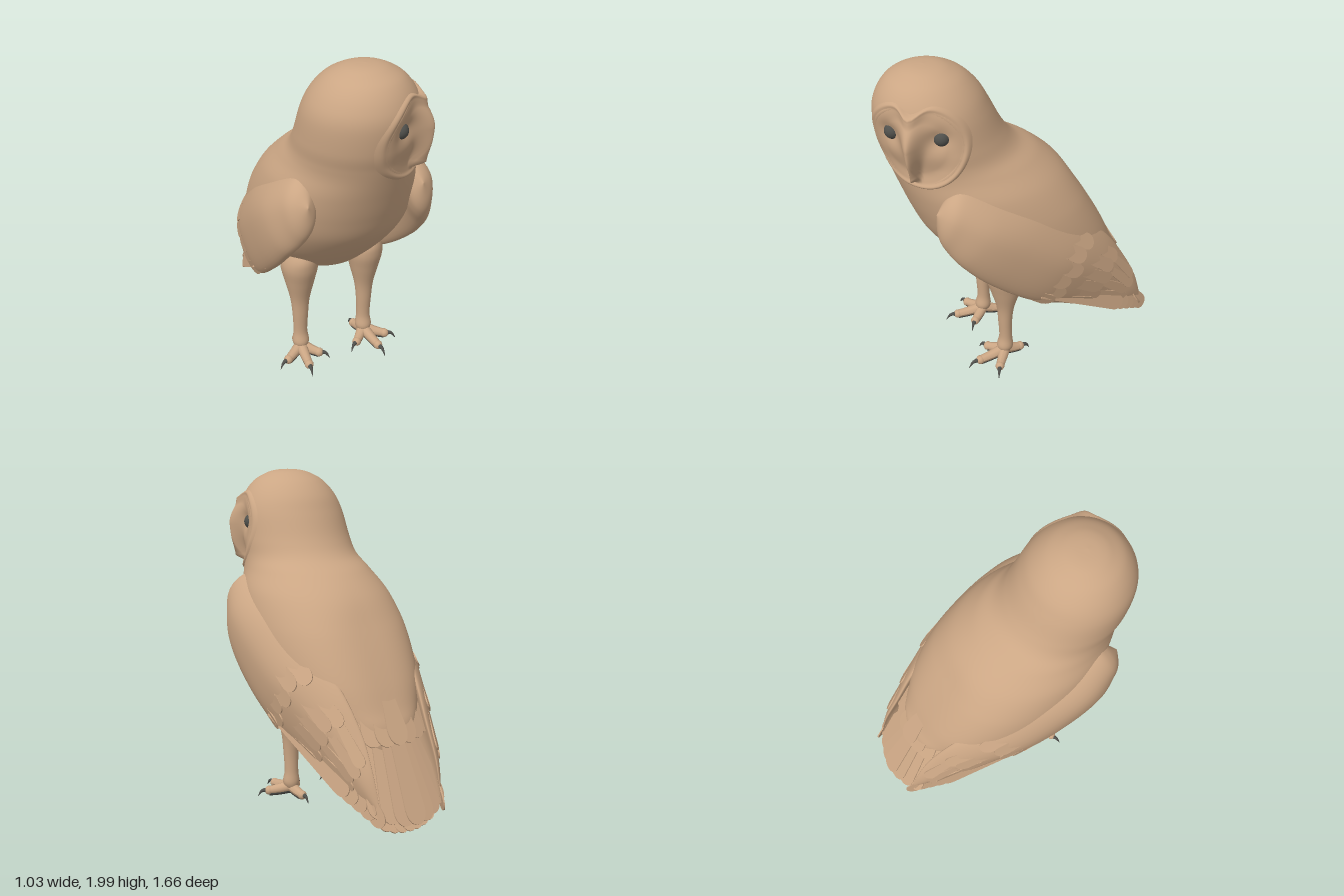
import * as THREE from 'three';

const plumage = new THREE.MeshStandardMaterial({ color: 0xcba684 });
plumage.name = 'tan plumage';
const horn = new THREE.MeshStandardMaterial({ color: 0x50504c });
horn.name = 'dark grey horn';
const V = (x, y, z) => new THREE.Vector3(x, y, z);
const smooth = THREE.MathUtils.smoothstep;
const bump = (d, w) => Math.exp(-((d / w) ** 2));
const power = (s, p) => Math.sign(s) * Math.abs(s) ** p;

// Catmull-Rom blend of table rows, t in 0..1
function blend(rows, t) {
  const f = Math.min(Math.max(t, 0), 1) * (rows.length - 1);
  const i = Math.min(Math.floor(f), rows.length - 2), k = f - i;
  const at = (n) => rows[Math.min(Math.max(n, 0), rows.length - 1)];
  return rows[0].map((_, c) => {
    const [a, b, d, e] = [at(i - 1)[c], at(i)[c], at(i + 1)[c], at(i + 2)[c]];
    return b + 0.5 * k * (d - a + k * (2 * a - 5 * b + 4 * d - e + k * (3 * (b - d) + e - a)));
  });
}

// Smooth skin over fn(u, v): u runs along, v runs round and closes
function loft(fn, nu, nv, flip = false) {
  const pos = [], idx = [];
  for (let i = 0; i <= nu; i++)
    for (let j = 0; j < nv; j++) pos.push(...fn(i / nu, (j / nv) * Math.PI * 2).toArray());
  for (let i = 0; i < nu; i++)
    for (let j = 0; j < nv; j++) {
      const a = i * nv + j, b = a + nv, c = i * nv + ((j + 1) % nv), d = c + nv;
      if (flip) idx.push(a, c, b, b, c, d);
      else idx.push(a, b, c, b, d, c);
    }
  const g = new THREE.BufferGeometry();
  g.setAttribute('position', new THREE.Float32BufferAttribute(pos, 3));
  g.setIndex(idx);
  g.computeVertexNormals();
  return g;
}

function add(parent, name, geometry, material = plumage) {
  const m = new THREE.Mesh(geometry, material);
  m.name = name;
  parent.add(m);
  return m;
}

// Horizontal sections: y, front z, back z, half width
const BODY = [
  [2.0, 0.54, 0.54, 0.0], [1.994, 0.61, 0.46, 0.075], [1.975, 0.67, 0.395, 0.14], [1.93, 0.745, 0.315, 0.215],
  [1.85, 0.8, 0.24, 0.28], [1.75, 0.825, 0.185, 0.32], [1.6, 0.81, 0.11, 0.335], [1.5, 0.78, 0.03, 0.34],
  [1.42, 0.755, -0.1, 0.365], [1.3, 0.715, -0.23, 0.42], [1.15, 0.66, -0.33, 0.45], [1.0, 0.59, -0.42, 0.455],
  [0.85, 0.47, -0.5, 0.43], [0.72, 0.34, -0.56, 0.37], [0.64, 0.24, -0.6, 0.31], [0.56, 0.04, -0.62, 0.25],
  [0.48, -0.1, -0.62, 0.19], [0.38, -0.26, -0.6, 0.15], [0.31, -0.37, -0.55, 0.11], [0.27, -0.46, -0.46, 0.0]];
const LEG = [
  [0.86, 0.18, 0.16, 0.01], [0.75, 0.28, 0.03, 0.085], [0.66, 0.29, 0.03, 0.11], [0.55, 0.26, 0.07, 0.09],
  [0.42, 0.225, 0.115, 0.06], [0.3, 0.215, 0.13, 0.048], [0.18, 0.21, 0.13, 0.043], [0.1, 0.225, 0.125, 0.05],
  [0.04, 0.19, 0.15, 0.01]];
function ringPoint(rows, t, a, x0 = 0) {
  const [y, zf, zb, hw] = blend(rows, t);
  return V(x0 + hw * Math.sin(a), y, (zf + zb) / 2 + ((zf - zb) / 2) * Math.cos(a));
}

// Face frame: the head is turned towards its left
const TURN = 0.92, HEAD_Z = 0.5, FACE_Y = 1.65;
const fwd = V(Math.sin(TURN), 0, Math.cos(TURN)), lat = V(Math.cos(TURN), 0, -Math.sin(TURN));
const facePoint = (a, y, d) => V(0, y, HEAD_Z).addScaledVector(lat, a).addScaledVector(fwd, d);
const notch = (a) => 0.055 * bump(a, 0.07);

// Distance from the head axis to the plain head surface, along the gaze
function headDepth(a, y) {
  let lo = 0, hi = 1;
  for (let i = 0; i < 24; i++) {
    const m = (lo + hi) / 2;
    if (blend(BODY, m)[0] > y) lo = m; else hi = m;
  }
  const [, zf, zb, hw] = blend(BODY, lo), p = facePoint(a, y, 0);
  const h = (zf - zb) / 2, z = p.z - (zf + zb) / 2;
  const A = (fwd.x / hw) ** 2 + (fwd.z / h) ** 2;
  const B = (p.x * fwd.x) / hw ** 2 + (z * fwd.z) / h ** 2;
  const C = (p.x / hw) ** 2 + (z / h) ** 2 - 1;
  return (-B + Math.sqrt(Math.max(B * B - A * C, 0))) / A;
}

function bodySurface(t, ang) {
  const p = ringPoint(BODY, t, ang);
  // fuller back below the neck
  if (Math.cos(ang) < 0) {
    const s = Math.abs(Math.sin(ang)) + 1e-6;
    p.x *= s ** (-0.3 * (1 - smooth(p.y, 1.1, 1.45)));
  }
  // hollow behind the facial disc
  const q = p.clone().sub(V(0, 0, HEAD_Z)), a = q.dot(lat);
  if (q.dot(fwd) > 0) {
    const dy = p.y - FACE_Y;
    const h = Math.hypot(a / 0.29, dy / (dy > 0 ? 0.25 - notch(a) : 0.27));
    p.addScaledVector(fwd, -0.075 * (1 - smooth(h, 0.6, 0.9)));
  }
  return p;
}

// Heart-shaped dish with soft rim, eye sockets and a beak ridge
function discSurface(r, ang) {
  const ba = 0.298 * power(Math.sin(ang), 0.85), c = Math.cos(ang);
  const by = (c > 0 ? 0.25 : 0.27) * c - (c > 0 ? notch(ba) : 0);
  const a = ba * r, y = FACE_Y + by * r;
  const dish = -0.02 * (1 - smooth(r, 0.6, 0.93)) + 0.01 * bump(r - 0.93, 0.05) - 0.012 * smooth(r, 0.95, 1);
  const socket = -0.03 * bump(Math.hypot(Math.abs(a) - 0.13, y - 1.69), 0.06);
  const width = 0.014 + 0.045 * smooth(y, 1.42, 1.78);
  const ridge = 0.088 * bump(a, width) * smooth(y, 1.415, 1.47) * (1 - 0.6 * smooth(y, 1.66, 1.84)) * (1 - smooth(r, 0.86, 1));
  return facePoint(a, y, headDepth(a, y) + dish + socket + ridge);
}

// Wing stations: upper z, y, lower z, y, centre x, half thickness, inward lean of the upper edge
const WING = [
  [0.6, 1.27, 0.6, 1.27, 0.345, 0, 0], [0.52, 1.36, 0.6, 1.14, 0.352, 0.066, 0.02], [0.42, 1.39, 0.57, 1.05, 0.37, 0.09, 0.05],
  [0.22, 1.32, 0.49, 0.94, 0.41, 0.098, 0.08], [0.0, 1.2, 0.33, 0.78, 0.425, 0.09, 0.08], [-0.25, 1.02, 0.08, 0.59, 0.41, 0.075, 0.1],
  [-0.45, 0.84, -0.2, 0.44, 0.35, 0.055, 0.09], [-0.6, 0.62, -0.45, 0.34, 0.285, 0.035, 0.06], [-0.7, 0.42, -0.62, 0.26, 0.25, 0.02, 0.03],
  [-0.76, 0.21, -0.76, 0.21, 0.21, 0, 0]];
function wingPoint(t, a, s) {
  const [uz, uy, lz, ly, x, th, lean] = blend(WING, t), k = Math.sin(a);
  return V(s * (x + th * Math.cos(a) - lean * Math.max(k, 0) ** 2),
    (uy + ly) / 2 + ((uy - ly) / 2) * k, (uz + lz) / 2 + ((uz - lz) / 2) * k);
}

// Thin round-tipped plate from base to tip, facing along normal
function feather(parent, name, base, tip, normal, w) {
  const dir = tip.clone().sub(base), L = dir.length(), h = w / 2;
  dir.normalize();
  const n = normal.clone().addScaledVector(dir, -normal.dot(dir)).normalize();
  const s = new THREE.Shape();
  s.moveTo(-h * 0.6, 0);
  s.lineTo(h * 0.6, 0);
  s.lineTo(h, L - w * 0.7);
  s.bezierCurveTo(h, L - w * 0.2, h * 0.5, L, 0, L);
  s.bezierCurveTo(-h * 0.5, L, -h, L - w * 0.2, -h, L - w * 0.7);
  const g = new THREE.ExtrudeGeometry(s, { depth: 0.008, bevelEnabled: false, curveSegments: 6 });
  g.applyMatrix4(new THREE.Matrix4().makeBasis(dir.clone().cross(n), dir, n).setPosition(base));
  add(parent, name, g);
}

// Tube that narrows from r0 to r1
function taper(points, r0, r1) {
  const curve = new THREE.CatmullRomCurve3(points), n = 10, sides = 12;
  const g = new THREE.TubeGeometry(curve, n, r0, sides), p = g.attributes.position, v = V(0, 0, 0);
  for (let i = 0; i < p.count; i++) {
    const k = Math.floor(i / (sides + 1)) / n, c = curve.getPointAt(k);
    v.fromBufferAttribute(p, i).sub(c).multiplyScalar(1 + (r1 / r0 - 1) * k).add(c);
    p.setXYZ(i, v.x, v.y, v.z);
  }
  g.computeVertexNormals();
  return g;
}

function buildWing(s) {
  const wing = new THREE.Group();
  wing.name = s > 0 ? 'leftWing' : 'rightWing';
  add(wing, 'wingShell', loft((t, a) => wingPoint(t, a, s), 70, 40, s < 0));
  // covert rows: start, length, width, count
  for (const [t0, len, w, count] of [[0.49, 0.11, 0.1, 6], [0.6, 0.12, 0.085, 6], [0.7, 0.15, 0.07, 5]])
    for (let i = 0; i < count; i++) {
      const a = -1.0 + (1.8 * i) / (count - 1), t = t0 + 0.012 * (i % 2), mid = wingPoint(t + len / 2, a, s);
      const n = wingPoint(t + len / 2 + 0.02, a, s).sub(mid).cross(wingPoint(t + len / 2, a + 0.05, s).sub(mid));
      n.multiplyScalar(s).normalize();
      feather(wing, 'covert', wingPoint(t, a, s).addScaledVector(n, -0.012), wingPoint(t + len, a, s).addScaledVector(n, 0.003), n, w);
    }
  // long flight feathers along the lower edge
  for (let i = 0; i < 5; i++) {
    const base = V(s * (0.44 - 0.03 * i), 0.64 + 0.02 * i, 0.02 - 0.09 * i);
    const tip = V(s * (0.3 - 0.022 * i), 0.29 - 0.035 * i, -0.58 - 0.05 * i);
    feather(wing, 'flightFeather', base, tip, V(s, 0.25, -0.3), 0.1);
  }
  return wing;
}

function buildLeg(s) {
  const leg = new THREE.Group();
  leg.name = s > 0 ? 'leftLeg' : 'rightLeg';
  add(leg, 'shank', loft((t, a) => ringPoint(LEG, t, a, s * 0.215), 44, 24));
  // toe ends and claw tips: toe x, z, claw x, z
  for (const [tx, tz, cx, cz] of [[0.33, 0.25, 0.395, 0.28], [0.235, 0.345, 0.245, 0.425],
    [0.13, 0.26, 0.075, 0.3], [0.2, 0.07, 0.195, 0.005]]) {
    const a = V(s * 0.215, 0.075, 0.175), e = V(s * tx, 0.045, tz);
    const m = a.clone().lerp(e, 0.55).setY(0.055), c = V(s * cx, 0.008, cz);
    add(leg, 'toe', taper([a, m, e], 0.036, 0.025));
    add(leg, 'toeTip', new THREE.SphereGeometry(0.028, 14, 10)).position.copy(e);
    const down = V(0, -0.014, 0);
    add(leg, 'toePad', taper([a, m, e].map((p) => p.clone().add(down)), 0.03, 0.021), horn);
    add(leg, 'claw', taper([e, e.clone().lerp(c, 0.6).setY(0.045), c], 0.018, 0.001), horn);
  }
  return leg;
}

export function createModel() {
  const owl = new THREE.Group();
  owl.name = 'owl';
  add(owl, 'headAndBody', loft(bodySurface, 140, 120));
  add(owl, 'facialDisc', loft((u, a) => discSurface(0.001 + 0.999 * u, a), 50, 120, true));
  for (const s of [-1, 1]) {
    const eye = add(owl, 'eye', new THREE.SphereGeometry(0.046, 24, 16), horn);
    eye.position.copy(facePoint(s * 0.138, 1.69, 0.228));
    owl.add(buildWing(s), buildLeg(s));
  }
  // tail: lower fan, upper fan, then rump coverts, each overlapping from the middle outwards
  const tail = new THREE.Group();
  tail.name = 'tail';
  const up = V(0, 0.6, -0.8);
  for (let i = -3; i <= 3; i++) {
    const k = i / 3, e = k * k, lift = V(0, 0.6, -0.8).multiplyScalar(-0.009 * Math.abs(i));
    const place = (name, base, tip, normal, w) => feather(tail, name, base.add(lift), tip.add(lift), normal, w);
    place('lowerTailFeather', V(0.07 * k, 0.5, -0.4), V(0.15 * k, 0.07 + 0.04 * e, -0.765), up, 0.1);
    place('upperTailFeather', V(0.13 * k, 0.66, -0.56 + 0.04 * e), V(0.21 * k, 0.13 + 0.07 * e, -0.825 + 0.05 * e), V(0.2 * k, 0.5, -0.8), 0.13);
    place('rumpCovert', V(0.18 * k, 0.82, -0.5 + 0.04 * e), V(0.23 * k, 0.54 + 0.03 * e, -0.655 + 0.05 * e), V(0.3 * k, 0.5, -0.8), 0.13);
  }
  owl.add(tail);
  return owl;
}
